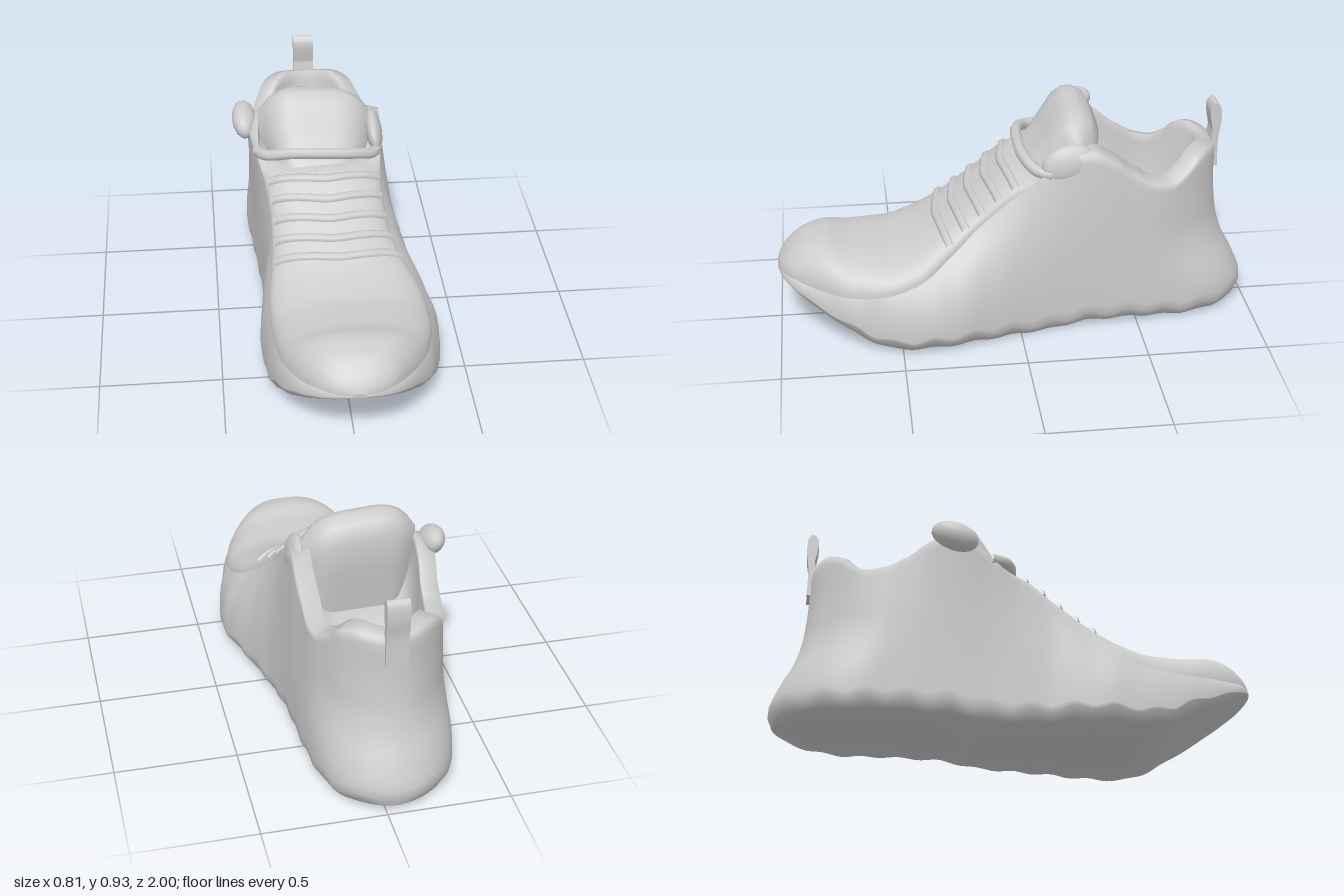
import * as THREE from 'three';

const grey = new THREE.MeshStandardMaterial({ color: 0xcccccc });
const greyThin = new THREE.MeshStandardMaterial({ color: 0xcccccc, side: THREE.DoubleSide });
const { clamp, lerp, smoothstep } = THREE.MathUtils;

// Stations run along the shoe; behind HEEL_START the sections close into a rounded heel
const HEEL_START = -0.5;
// Sole stations: z, right x, left x, underside y
const SOLE = [
  [-1, -0.33, 0.24, 0.025], [-0.85, -0.345, 0.24, 0.015], [-0.7, -0.35, 0.235, 0.01], [-0.5, -0.335, 0.245, 0.02],
  [-0.3, -0.32, 0.255, 0.02], [-0.1, -0.305, 0.28, 0], [0.1, -0.3, 0.335, 0.01], [0.25, -0.325, 0.385, 0.02],
  [0.36, -0.335, 0.405, 0.02], [0.5, -0.325, 0.395, 0.015], [0.6, -0.315, 0.37, 0.035], [0.7, -0.295, 0.34, 0.085],
  [0.8, -0.26, 0.285, 0.14], [0.88, -0.215, 0.23, 0.185], [0.95, -0.15, 0.165, 0.23], [0.985, -0.09, 0.1, 0.25],
  [1, -0.03, 0.04, 0.262],
];
// Upper stations: z, right rim x, left rim x, rim y, centre y (below the rim inside the opening)
const UPPER = [
  [-1, -0.28, 0.17, 0.735, 0.4], [-0.93, -0.285, 0.175, 0.75, 0.4], [-0.86, -0.295, 0.185, 0.735, 0.39],
  [-0.78, -0.305, 0.195, 0.685, 0.37], [-0.68, -0.315, 0.21, 0.65, 0.36], [-0.58, -0.325, 0.22, 0.66, 0.36],
  [-0.48, -0.33, 0.22, 0.7, 0.36], [-0.38, -0.345, 0.225, 0.775, 0.38],
  [-0.3, -0.35, 0.22, 0.81, 0.5], [-0.24, -0.345, 0.215, 0.8, 0.63], [-0.1, -0.31, 0.205, 0.695, 0.68],
  [0, -0.285, 0.2, 0.62, 0.69], [0.15, -0.27, 0.21, 0.5, 0.595], [0.28, -0.28, 0.26, 0.39, 0.5],
  [0.42, -0.3, 0.33, 0.3, 0.42], [0.55, -0.295, 0.345, 0.26, 0.385], [0.7, -0.275, 0.315, 0.245, 0.39],
  [0.8, -0.24, 0.265, 0.25, 0.41], [0.88, -0.195, 0.21, 0.26, 0.395], [0.95, -0.135, 0.15, 0.272, 0.35],
  [0.985, -0.08, 0.09, 0.272, 0.31], [1, -0.02, 0.03, 0.27, 0.28],
];
// Back outline of the heel: y, z
const HEEL = [
  [0, -0.97], [0.08, -1], [0.18, -0.965], [0.3, -0.905], [0.42, -0.874], [0.6, -0.86], [0.68, -0.86], [0.76, -0.845],
];

// Smooth, overshoot-free interpolation of one table column
function at(table, v, col) {
  const n = table.length;
  let i = 0;
  while (i < n - 2 && v > table[i + 1][0]) i++;
  const secant = (k) => (table[k + 1][col] - table[k][col]) / (table[k + 1][0] - table[k][0]);
  const slope = (k) => {
    if (k === 0) return secant(0);
    if (k === n - 1) return secant(n - 2);
    const a = secant(k - 1), b = secant(k);
    return a * b <= 0 ? 0 : (2 * a * b) / (a + b);
  };
  const d = table[i + 1][0] - table[i][0];
  const t = (v - table[i][0]) / d, s = 1 - t;
  return table[i][col] * s * s * (1 + 2 * t) + table[i + 1][col] * t * t * (3 - 2 * t)
    + d * t * s * (slope(i) * s - slope(i + 1) * t);
}

const heelShare = (s) => clamp((HEEL_START - s) / (1 + HEEL_START), 0, 1);
const roundOff = (s) => Math.sqrt(Math.max(0, 1 - heelShare(s) ** 3));
// Station to z, where the heel ends at zBack
const heelZ = (s, zBack) => (s >= HEEL_START ? s : lerp(HEEL_START, zBack, heelShare(s)));
// Centre and half width of a station
function span(table, s) {
  const r = at(table, s, 1), l = at(table, s, 2);
  return [(l + r) / 2, ((l - r) / 2) * roundOff(s)];
}
const openness = (s) => clamp((at(UPPER, s, 3) - at(UPPER, s, 4)) / 0.25, 0, 1);

// Point on the top of the upper: angle 0 = left rim, PI = right rim
function topPoint(s, angle) {
  const [mid, half] = span(UPPER, s), ys = at(UPPER, s, 3), yf = at(UPPER, s, 4);
  const open = openness(s), cos = Math.cos(angle), sin = Math.sin(angle);
  const inner = half - 0.07 * open * roundOff(s);
  const x = mid + inner * Math.sign(cos) * Math.abs(cos) ** (0.75 - 0.4 * open);
  return new THREE.Vector3(x, ys + (yf - ys) * sin, heelZ(s, -0.8 + 0.07 * sin));
}

// Closed cross-section, anticlockwise seen from the front
function section(s) {
  const [mid, half] = span(SOLE, s), [rimMid, rimHalf] = span(UPPER, s);
  const yb = at(SOLE, s, 3), h = at(UPPER, s, 3) - 0.02 * openness(s) - yb;
  const scallop = 0.09 * Math.min(h, 0.25) * (0.5 + 0.5 * Math.sin(s * 38));
  const heel = 1 - smoothstep(s, -0.8, -0.35);
  const point = (x, y) => [x, y, heelZ(s, at(HEEL, y, 1))];
  const side = (sign) => {
    const pts = [point(mid + sign * half * 0.5, yb), point(mid + sign * half * 0.92, yb + scallop * 0.4)];
    for (let k = 0; k <= 18; k++) {
      const t = k / 18, y0 = Math.min(0.035, h * 0.2) + scallop, y = yb + y0 + (h - y0) * t;
      // The heel steps in above the midsole; further forward the wall leans in gradually
      const f = lerp(t ** 2.4, smoothstep(y, 0.12, 0.42), heel);
      pts.push(point(lerp(mid + sign * half, rimMid + sign * rimHalf, f), y));
    }
    return pts;
  };
  const top = [];
  for (let k = 0; k <= 24; k++) top.push(topPoint(s, (Math.PI * k) / 24).toArray());
  return [point(mid, yb), ...side(1), ...top, ...side(-1).reverse()];
}

// Surface through rows of points; closed rows are capped at the last one
function loft(rows, closed) {
  const m = rows[0].length, last = rows.length - 1, pos = rows.flat(2), idx = [];
  for (let j = 0; j < last; j++) {
    for (let i = 0; i < (closed ? m : m - 1); i++) {
      const a = j * m + i, b = j * m + ((i + 1) % m);
      idx.push(a, b, b + m, a, b + m, a + m);
    }
  }
  if (closed) {
    pos.push(...[0, 1, 2].map((c) => rows[last].reduce((sum, p) => sum + p[c], 0) / m));
    for (let i = 0; i < m; i++) idx.push(rows.length * m, last * m + i, last * m + ((i + 1) % m));
  }
  const g = new THREE.BufferGeometry();
  g.setAttribute('position', new THREE.Float32BufferAttribute(pos, 3));
  g.setIndex(idx);
  g.computeVertexNormals();
  return g;
}

export function createModel() {
  const group = new THREE.Group();
  const add = (name, geometry, material = grey) => {
    const mesh = new THREE.Mesh(geometry, material);
    mesh.name = name;
    group.add(mesh);
    return mesh;
  };
  const tube = (name, pts, radius) =>
    add(name, new THREE.TubeGeometry(new THREE.CatmullRomCurve3(pts), 28, radius, 8));

  // Sole and upper in one lofted body, with slices closing up towards the heel and toe
  const slices = [];
  for (let k = 0; k < 36; k++) slices.push(HEEL_START - (1 + HEEL_START) * Math.cos((Math.PI * k) / 72));
  for (let k = 0; k <= 84; k++) slices.push(HEEL_START + (1 - HEEL_START) * Math.sin((Math.PI * k) / 168));
  add('soleAndUpper', loft(slices.map(section), true));

  // Padded tongue folded over its top edge: z, y, half width
  const tongue = [
    [0, 0.67, 0.2], [-0.08, 0.75, 0.23], [-0.13, 0.82, 0.245], [-0.18, 0.895, 0.245], [-0.22, 0.925, 0.24],
    [-0.26, 0.93, 0.235], [-0.31, 0.905, 0.23], [-0.345, 0.84, 0.22], [-0.33, 0.7, 0.2], [-0.3, 0.5, 0.18],
  ];
  add('tongue', loft(tongue.map(([z, y, w]) => {
    const row = [];
    for (let k = 0; k <= 16; k++) {
      const u = k / 8 - 1;
      row.push([w * u - 0.055, y - 0.11 * u ** 4 - 0.018 * u, lerp(z, -0.26, 0.7 * u ** 6)]);
    }
    return row;
  }), false), greyThin);

  // Lace rows half sunk into the instep
  for (let i = 0; i < 5; i++) {
    const z = 0.05 + i * 0.07, pts = [];
    for (let k = 0; k <= 8; k++) {
      const p = topPoint(z - 0.04 * Math.abs(k / 4 - 1), Math.PI * (0.14 + 0.09 * k));
      p.y -= 0.01;
      pts.push(p);
    }
    tube('lace', pts, 0.02);
  }

  // Top lace band running between the collar flaps
  tube('topLace', [
    [-0.31, 0.71, -0.13], [-0.27, 0.72, -0.07], [-0.17, 0.745, -0.03], [-0.05, 0.745, -0.02],
    [0.09, 0.73, -0.035], [0.17, 0.705, -0.08], [0.2, 0.7, -0.14],
  ].map((p) => new THREE.Vector3(...p)), 0.024);

  // Collar flaps beside the tongue: position, radii, lean
  [[[-0.355, 0.78, -0.28], [0.05, 0.06, 0.1], 0.5], [[0.19, 0.745, -0.2], [0.035, 0.075, 0.11], 0.2]]
    .forEach(([p, radii, lean]) => {
      const flap = add('collarFlap', new THREE.SphereGeometry(1, 16, 10));
      flap.position.set(...p);
      flap.scale.set(...radii);
      flap.rotation.set(0.3, 0, lean);
    });

  // Pull tab standing on the heel
  const tab = new THREE.Shape();
  tab.moveTo(-0.85, 0.6);
  tab.lineTo(-0.835, 0.7);
  tab.lineTo(-0.845, 0.76);
  tab.splineThru([[-0.832, 0.84], [-0.842, 0.875], [-0.86, 0.885], [-0.877, 0.86], [-0.88, 0.8], [-0.87, 0.72],
    [-0.872, 0.6]].map((p) => new THREE.Vector2(...p)));
  const tabGeometry = new THREE.ExtrudeGeometry(tab, { depth: 0.09, bevelEnabled: false, curveSegments: 24 });
  tabGeometry.rotateY(-Math.PI / 2).translate(-0.015, 0, 0);
  add('heelTab', tabGeometry);

  return group;
}
